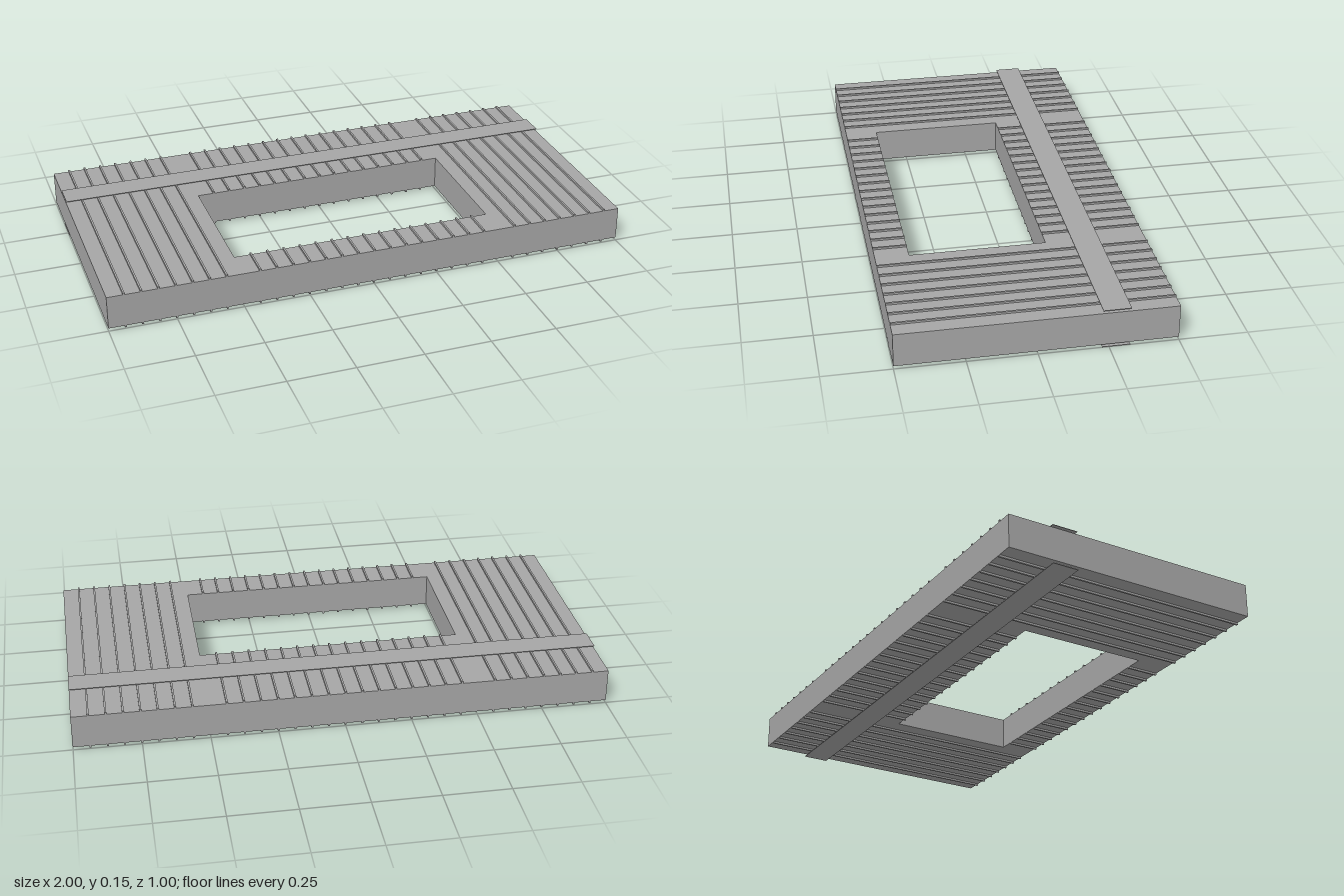
import * as THREE from 'three';

export function createModel() {
  const model = new THREE.Group();
  const stone = new THREE.MeshStandardMaterial({ color: 0xa6a6a6 });
  stone.name = 'plain grey';

  const midY = 0.075;
  const halfSlab = 0.0635;
  const ribHeight = 0.0075;
  const ribWidth = 0.007;
  const hole = { x: 0.5, back: -0.13, front: 0.375 };

  // Slab with a rectangular opening, extruded upwards (shape y becomes -z)
  const outline = new THREE.Shape();
  outline.moveTo(-1, -0.5).lineTo(1, -0.5).lineTo(1, 0.5).lineTo(-1, 0.5).closePath();
  const opening = new THREE.Path();
  opening.moveTo(-hole.x, -hole.front).lineTo(-hole.x, -hole.back)
    .lineTo(hole.x, -hole.back).lineTo(hole.x, -hole.front).closePath();
  outline.holes.push(opening);
  const slabGeometry = new THREE.ExtrudeGeometry(outline, { depth: halfSlab * 2, bevelEnabled: false });
  slabGeometry.rotateX(-Math.PI / 2);
  const slab = new THREE.Mesh(slabGeometry, stone);
  slab.name = 'slab';
  slab.position.y = midY - halfSlab;
  model.add(slab);

  // Box spanning two depths
  function addBar(parent, name, x, y, width, height, back, front) {
    const bar = new THREE.Mesh(new THREE.BoxGeometry(width, height, front - back), stone);
    bar.name = name;
    bar.position.set(x, y, (back + front) / 2);
    parent.add(bar);
  }

  // Ribs and one cross strip on both the upper and lower faces
  for (const side of [1, -1]) {
    const face = new THREE.Group();
    face.name = side > 0 ? 'upperFace' : 'lowerFace';
    const ribY = midY + side * (halfSlab + ribHeight / 2);
    for (let i = -15; i <= 15; i++) {
      if (Math.abs(i) === 8) continue; // the opening's edges carry no rib
      const x = i / 16;
      if (Math.abs(x) > hole.x) {
        addBar(face, 'longRib', x, ribY, ribWidth, ribHeight, -0.5, 0.5);
      } else {
        addBar(face, 'backRib', x, ribY, ribWidth, ribHeight, -0.5, hole.back);
        addBar(face, 'frontRib', x, ribY, ribWidth, ribHeight, hole.front, 0.5);
      }
    }
    // Thin strip lying over the ribs
    addBar(face, 'crossStrip', 0, midY + side * 0.074, 2, 0.002, -0.326, -0.226);
    model.add(face);
  }

  return model;
}
